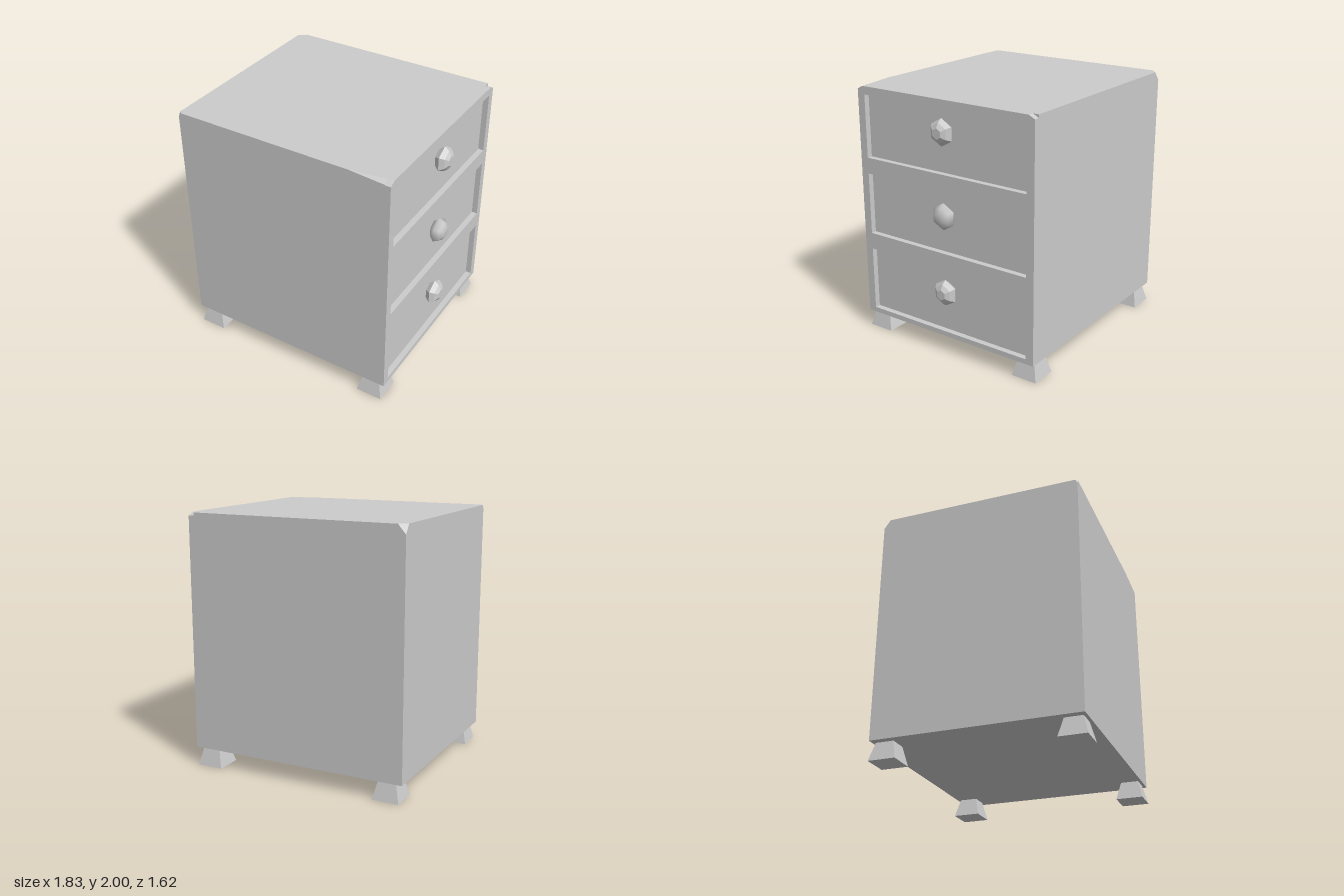
import * as THREE from 'three';
import { ConvexGeometry } from 'three/addons/geometries/ConvexGeometry.js';

const BACK = -0.915, PANEL = 0.81, FACE = 0.855;
const BOTTOM = 0.143, TOP = 2, HALF = 0.8;

export function createModel() {
  const model = new THREE.Group();
  const flat = new THREE.MeshStandardMaterial({ color: 0xcccccc, flatShading: true });
  const smooth = new THREE.MeshStandardMaterial({ color: 0xcccccc });

  const add = (name, geometry, material = flat) => {
    const mesh = new THREE.Mesh(geometry, material);
    mesh.name = name;
    model.add(mesh);
    return mesh;
  };

  // Cabinet block with unevenly chipped top corners; its +x side is the drawer panels
  const points = [];
  for (const x of [BACK, PANEL]) {
    for (const z of [-HALF, HALF]) points.push(new THREE.Vector3(x, BOTTOM, z));
  }
  // Each chip: corner x, corner z, cut along x, y and z
  const chips = [
    [BACK, -HALF, 0.06, 0.07, 0.05],
    [BACK, HALF, 0.022, 0.03, 0.02],
  ];
  for (const [x, z, cx, cy, cz] of chips) {
    points.push(
      new THREE.Vector3(x + cx, TOP, z),
      new THREE.Vector3(x, TOP - cy, z),
      new THREE.Vector3(x, TOP, z - Math.sign(z) * cz)
    );
  }
  // Long shallow chip running into the front frame, and the square corner opposite
  points.push(
    new THREE.Vector3(0.53, TOP, HALF),
    new THREE.Vector3(PANEL, TOP - 0.022, HALF),
    new THREE.Vector3(PANEL, TOP, HALF - 0.044),
    new THREE.Vector3(PANEL, TOP, -HALF)
  );
  add('cabinet', new ConvexGeometry(points));

  // Front frame with three drawer openings, drawn in (-z, y) and extruded along x
  const frame = new THREE.Shape([
    [-HALF, BOTTOM], [HALF, BOTTOM], [HALF, TOP - 0.025], [HALF - 0.05, TOP],
    [-HALF + 0.05, TOP], [-HALF, TOP - 0.025],
  ].map(([u, y]) => new THREE.Vector2(u, y)));
  const drawers = [[0.183, 0.695], [0.827, 1.317], [1.445, 1.937]];
  for (const [low, high] of drawers) {
    frame.holes.push(new THREE.Path([
      [-0.735, low], [-0.735, high], [0.735, high], [0.735, low],
    ].map(([u, y]) => new THREE.Vector2(u, y))));
  }
  const frameGeometry = new THREE.ExtrudeGeometry(frame, { depth: FACE - PANEL, bevelEnabled: false });
  frameGeometry.rotateY(Math.PI / 2).translate(PANEL, 0, 0);
  add('drawerFrame', frameGeometry);

  // Six-sided knobs; the middle one is smoothly shaded
  const profile = [[0, 0], [0.07, 0], [0.105, 0.042], [0.078, 0.078], [0.042, 0.1], [0, 0.1]]
    .map(([r, h]) => new THREE.Vector2(r, h));
  [0.51, 1.122, 1.76].forEach((y, i) => {
    const geometry = new THREE.LatheGeometry(profile, 6, Math.PI / 2);
    geometry.rotateZ(-Math.PI / 2);
    add('drawerKnob', geometry, i === 1 ? smooth : flat).position.set(PANEL, y, 0);
  });

  // Square feet that widen towards the ground
  const foot = new THREE.CylinderGeometry(0.07 * Math.SQRT2, 0.106 * Math.SQRT2, BOTTOM, 4);
  foot.rotateY(Math.PI / 4);
  for (const x of [-0.788, 0.73]) {
    for (const z of [-0.705, 0.705]) add('foot', foot).position.set(x, BOTTOM / 2, z);
  }

  return model;
}
